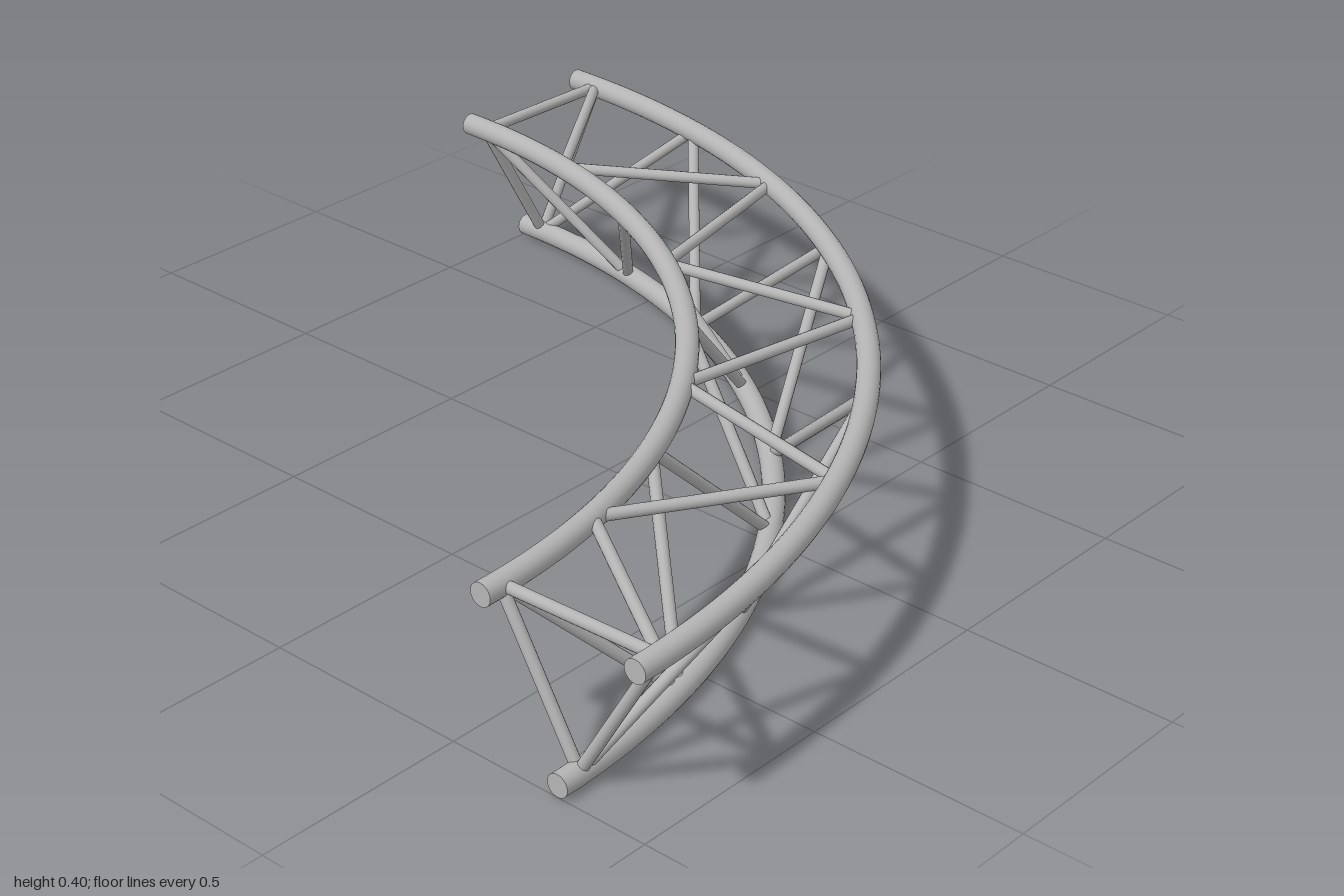
import * as THREE from 'three';

// A quarter-circle triangular truss, curving about the corner (-1, 1).
const TUBE = 0.0265, ROD = 0.0135;
const CHORDS = {
  outer: { R: 1.9735, y: 0.37 },
  inner: { R: 1.583, y: 0.37 },
  lower: { R: 1.778, y: TUBE },
};
// Angles of the bracing nodes along the arc, in degrees
const NODES = [2, 13, 23.6, 34.3, 45, 55.7, 66.4, 77, 88];

function nodePoint(chord, degrees) {
  const a = THREE.MathUtils.degToRad(degrees);
  return new THREE.Vector3(-1 + chord.R * Math.sin(a), chord.y, 1 - chord.R * Math.cos(a));
}

export function createModel() {
  const model = new THREE.Group();
  const steel = new THREE.MeshStandardMaterial({ color: 0xb4b4b4 });
  steel.name = 'greySteel';

  // Curved main tubes with flat end caps
  for (const [name, chord] of Object.entries(CHORDS)) {
    const group = new THREE.Group();
    group.name = name + 'Chord';
    group.position.set(-1, chord.y, 1);
    const tube = new THREE.TorusGeometry(chord.R, TUBE, 20, 72, Math.PI / 2).rotateX(-Math.PI / 2);
    const frontCap = new THREE.CircleGeometry(TUBE, 20).translate(chord.R, 0, 0);
    const sideCap = new THREE.CircleGeometry(TUBE, 20).rotateY(-Math.PI / 2).translate(0, 0, -chord.R);
    [['tube', tube], ['frontCap', frontCap], ['sideCap', sideCap]].forEach(([part, geometry]) => {
      const mesh = new THREE.Mesh(geometry, steel);
      mesh.name = part;
      group.add(mesh);
    });
    model.add(group);
  }

  // Straight rod between two points
  function rod(group, name, from, to) {
    const span = to.clone().sub(from);
    const mesh = new THREE.Mesh(new THREE.CylinderGeometry(ROD, ROD, span.length(), 12), steel);
    mesh.name = name;
    mesh.position.copy(from).addScaledVector(span, 0.5);
    mesh.quaternion.setFromUnitVectors(new THREE.Vector3(0, 1, 0), span.normalize());
    group.add(mesh);
  }

  // Zigzag bracing on each of the three faces, closed by a strut at both ends
  function web(name, first, second) {
    const group = new THREE.Group();
    group.name = name;
    const pair = [first, second];
    for (let i = 0; i < NODES.length - 1; i++) {
      rod(group, 'diagonal', nodePoint(pair[i % 2], NODES[i]), nodePoint(pair[(i + 1) % 2], NODES[i + 1]));
    }
    for (const end of [NODES[0], NODES[NODES.length - 1]]) {
      rod(group, 'endStrut', nodePoint(first, end), nodePoint(second, end));
    }
    model.add(group);
  }
  web('topBracing', CHORDS.outer, CHORDS.inner);
  web('outerBracing', CHORDS.lower, CHORDS.outer);
  web('innerBracing', CHORDS.inner, CHORDS.lower);

  return model;
}
